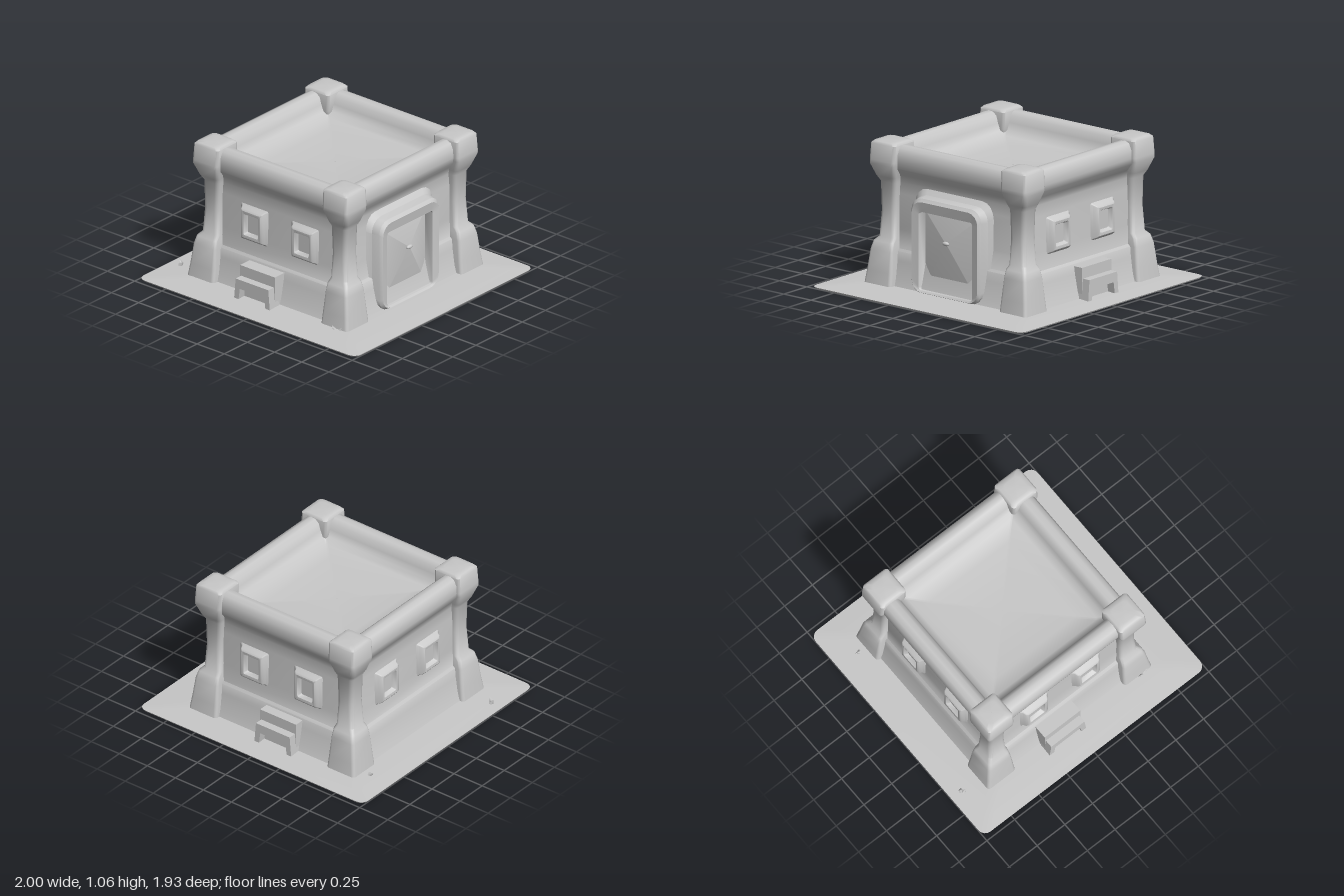
import * as THREE from 'three';
import { toCreasedNormals } from 'three/addons/utils/BufferGeometryUtils.js';

const stone = new THREE.MeshStandardMaterial({ color: 0xc8c8c8 });
stone.name = 'pale stone';

// Rounded-rectangle outline in the xz plane
function ring([y, hx, hz, r = 0.01, cx = 0, cz = 0]) {
  const pts = [];
  r = Math.min(r, hx, hz);
  [[1, 1], [-1, 1], [-1, -1], [1, -1]].forEach(([sx, sz], q) => {
    for (let k = 0; k <= 4; k++) {
      const a = (q + k / 4) * Math.PI / 2;
      pts.push([cx + sx * (hx - r) + r * Math.cos(a), y, cz + sz * (hz - r) + r * Math.sin(a)]);
    }
  });
  return pts;
}

// Skin through sections [y, halfX, halfZ, cornerRadius, centreX, centreZ]
function loft(sections, crease = 0.85) {
  const rings = sections.map(ring);
  const n = rings[0].length;
  const index = [];
  for (let s = 0; s < rings.length - 1; s++) {
    for (let i = 0; i < n; i++) {
      const j = (i + 1) % n, a = s * n, b = a + n;
      index.push(a + i, b + i, a + j, a + j, b + i, b + j);
    }
  }
  const g = new THREE.BufferGeometry();
  g.setAttribute('position', new THREE.Float32BufferAttribute(rings.flat(2), 3));
  g.setIndex(index);
  return toCreasedNormals(g, crease);
}

function add(parent, name, geometry, x = 0, y = 0, z = 0) {
  const m = new THREE.Mesh(geometry, stone);
  m.name = name;
  m.position.set(x, y, z);
  parent.add(m);
  return m;
}

export function createModel() {
  const model = new THREE.Group();
  model.name = 'stoneHouse';
  const CX = -0.03, CZ = -0.025, HX = 0.68, HZ = 0.685;

  // Ground slab, rising slightly towards the house
  add(model, 'groundSlab', loft([
    [0, 0.001, 0.001], [0, 0.995, 0.96, 0.06], [0.01, 1, 0.965, 0.06],
    [0.016, 0.9, 0.88, 0.06], [0.028, 0.72, 0.73, 0.05], [0.028, 0.001, 0.001]]));

  // Walls with sloping plinth, rounded parapet and dished roof: [height, inset]
  const profile = [[0.02, -0.02], [0.08, 0], [0.2, 0.025], [0.27, 0.035], [0.285, 0.055],
    [0.42, 0.068], [0.68, 0.07], [0.76, 0.075], [0.82, 0.055], [0.87, 0.012], [0.92, 0],
    [0.98, 0.004], [1.025, 0.025], [1.04, 0.06], [1.035, 0.1], [1.01, 0.13], [0.96, 0.145],
    [0.91, 0.165], [0.88, 0.21], [0.865, 0.32], [0.855, 0.678]];
  add(model, 'wallsAndRoof', loft(profile.map(([y, d]) => [y, HX - d, HZ - d, 0.015])), CX, 0, CZ);

  // Corner pillars: [height, outward reach, inward reach, corner radius]
  const pillar = [[0.01, 0.06, 0.19, 0.025], [0.12, 0.045, 0.185, 0.025], [0.27, 0.028, 0.175, 0.025],
    [0.33, 0.012, 0.17, 0.025], [0.36, -0.015, 0.165, 0.03], [0.55, -0.025, 0.16, 0.035],
    [0.76, -0.022, 0.165, 0.03], [0.8, 0.0, 0.175, 0.03], [0.89, 0.032, 0.195, 0.025],
    [0.92, 0.032, 0.2, 0.025], [1.04, 0.025, 0.2, 0.025], [1.055, 0.012, 0.185, 0.035],
    [1.06, -0.02, 0.155, 0.035], [1.06, -0.084, 0.086]];
  for (const sx of [-1, 1]) for (const sz of [-1, 1]) {
    const sections = pillar.map(([y, o, i, r = 0.001]) =>
      [y, (o + i) / 2, (o + i) / 2, r, sx * (o - i) / 2, sz * (o - i) / 2]);
    add(model, (sz > 0 ? 'front' : 'back') + (sx > 0 ? 'Left' : 'Right') + 'Pillar',
      loft(sections), -0.022 + sx * HX, 0, -0.02 + sz * HZ);
  }

  // Windows: splayed frame around a recessed pane, facing +z
  const windowGeometry = loft([[-0.02, 0.16, 0.16, 0.03], [0.012, 0.108, 0.125], [0.035, 0.098, 0.115],
    [0.045, 0.085, 0.102], [0.042, 0.068, 0.082], [0.012, 0.052, 0.068], [0.012, 0.001, 0.001]], 0.7);
  windowGeometry.rotateX(Math.PI / 2);
  const wallX = HX - 0.07, wallZ = HZ - 0.07;
  const windows = [
    [-0.245, CZ + wallZ, 0], [0.22, CZ + wallZ, 0],
    [-0.26, CZ - wallZ, Math.PI], [0.22, CZ - wallZ, Math.PI],
    [CX - wallX, -0.25, -Math.PI / 2], [CX - wallX, 0.22, -Math.PI / 2]];
  for (const [x, z, turn] of windows) add(model, 'window', windowGeometry, x, 0.52, z).rotation.y = turn;

  // Door on the left side: splayed surround, rounded lip and pyramidal panel
  const door = new THREE.Group();
  door.name = 'door';
  door.position.set(CX + wallX, 0, 0);
  door.rotation.y = Math.PI / 2;
  model.add(door);
  const surround = loft([[-0.02, 0.38, 0.375, 0.12, 0, -0.045], [0.03, 0.33, 0.35, 0.1, 0, -0.02],
    [0.09, 0.318, 0.345, 0.09, 0, -0.015], [0.11, 0.3, 0.328, 0.085, 0, -0.01],
    [0.1, 0.245, 0.285, 0.02, 0, 0.02], [0.04, 0.232, 0.278, 0.005, 0, 0.018],
    [0.095, 0.002, 0.002, 0.001, 0, -0.07]], 0.6);
  surround.rotateX(Math.PI / 2);
  add(door, 'doorSurround', surround, 0, 0.35, 0);
  add(door, 'doorKnob', new THREE.SphereGeometry(0.022, 10, 8), 0, 0.42, 0.095).scale.set(1.4, 0.7, 0.7);

  // Low hearth ledges at the front and back
  const arch = new THREE.Shape([[-0.165, 0], [-0.125, 0], [-0.112, 0.095], [0.112, 0.095], [0.125, 0],
    [0.165, 0], [0.15, 0.165], [-0.15, 0.165]].map(([x, y]) => new THREE.Vector2(x, y)));
  const archGeometry = new THREE.ExtrudeGeometry(arch, { depth: 0.1, bevelEnabled: false });
  for (const [name, x, z, turn] of [['frontLedge', -0.1, 0.63, 0], ['backLedge', -0.075, -0.65, Math.PI]]) {
    const ledge = new THREE.Group();
    ledge.name = name;
    ledge.position.set(x, 0.01, z);
    ledge.rotation.y = turn;
    model.add(ledge);
    add(ledge, 'upperStep', new THREE.BoxGeometry(0.32, 0.24, 0.12), 0, 0.125, 0.04);
    add(ledge, 'archedStep', archGeometry, 0, 0, 0.06);
  }

  // Small shards of rubble on the ground
  const shard = new THREE.ConeGeometry(0.018, 0.045, 5);
  for (const [x, z, lean] of [[-0.92, 0.6, 0.5], [-0.89, 0.62, -0.6], [-0.83, -0.65, 0.9],
    [0.6, 0.73, 0.8], [0.66, 0.72, -0.7]]) {
    add(model, 'rubbleShard', shard, x, 0.033, z).rotation.z = lean;
  }
  return model;
}
